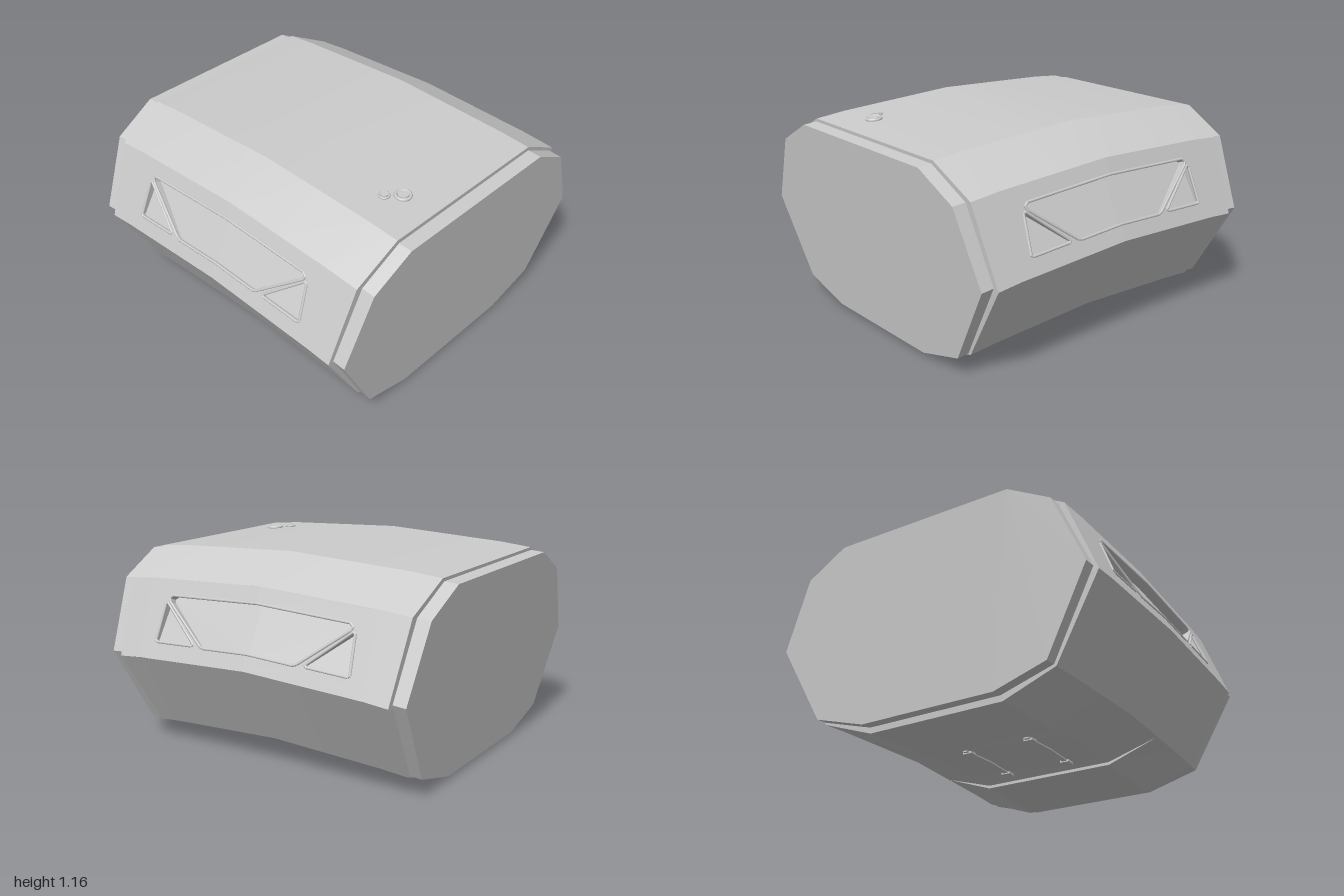
import * as THREE from 'three';
import { toCreasedNormals } from 'three/addons/utils/BufferGeometryUtils.js';

const grey = new THREE.MeshStandardMaterial({ color: 0xcccccc });

// half cross-sections as [z, y], top to bottom
const BODY = [[0.545, 1.165], [0.82, 1.02], [0.983, 0.6], [0.72, 0.155], [0.41, 0.043]];
const CAP = [[0.54, 1.095], [0.79, 0.96], [0.958, 0.565], [0.712, 0.115], [0.405, 0.025]];

// how far the arched body sinks away from the middle
const drop = (x) => {
  const a = Math.abs(x);
  return a < 0.72 ? 0.0444 * a : 0.032 + 0.09 * (a - 0.72);
};
const bodyEnd = (y) => 0.82 + 0.081 * y;
const fullLoop = (half) => [...half, ...half.map(([z, y]) => [-z, y]).reverse()];

function mesh(name, geometry) {
  const m = new THREE.Mesh(geometry, grey);
  m.name = name;
  return m;
}

// skin rings of equal length, ordered by rising x, with closed ends
function loft(rings, skip = []) {
  const n = rings[0].length, pos = [];
  const tri = (...p) => p.forEach((q) => pos.push(...q));
  for (let i = 0; i < rings.length - 1; i++) {
    for (let j = 0; j < n; j++) {
      if (skip.includes(j)) continue;
      const a = rings[i], b = rings[i + 1], k = (j + 1) % n;
      tri(a[j], a[k], b[j]);
      tri(a[k], b[k], b[j]);
    }
  }
  const first = rings[0], last = rings[rings.length - 1];
  for (let j = 1; j < n - 1; j++) {
    tri(first[0], first[j + 1], first[j]);
    tri(last[0], last[j], last[j + 1]);
  }
  const g = new THREE.BufferGeometry();
  g.setAttribute('position', new THREE.Float32BufferAttribute(pos, 3));
  return toCreasedNormals(g, 0.3);
}

// arched shell, open at the two sloped handle faces, with a shallow recess below
function bodyShell() {
  const stations = [[-1], [-0.8], [-0.4], [-0.399, 1], [0, 1], [0.399, 1], [0.4], [0.8], [1]];
  const rings = stations.map(([t, recess]) => fullLoop(BODY).map(([z, y]) => {
    const x = t * bodyEnd(y);
    return [x, y - drop(x) + (recess && y < 0.1 ? 0.017 : 0), z];
  }));
  return mesh('bodyShell', loft(rings, [1, 7]));
}

// places a point (x, height v, depth d) on one quarter of the sloped faces
function onSlope(x, v, d, sx, sz) {
  return new THREE.Vector3(sx * x, v - drop(x) + d * 0.362, sz * (0.983 - (v - 0.6) * 0.388 + d * 0.932));
}

function bendToSlope(geometry, sx, sz, depthAt) {
  const g = geometry.index ? geometry.toNonIndexed() : geometry;
  const p = g.attributes.position, pts = [];
  for (let i = 0; i < p.count; i++) {
    pts.push(onSlope(p.getX(i), p.getY(i), depthAt(p.getY(i), p.getZ(i)), sx, sz));
  }
  if (sx * sz < 0) for (let i = 0; i < pts.length; i += 3) [pts[i + 1], pts[i + 2]] = [pts[i + 2], pts[i + 1]];
  return toCreasedNormals(new THREE.BufferGeometry().setFromPoints(pts), 0.3);
}

const vecs = (list) => list.map(([x, y]) => new THREE.Vector2(x, y));
const POCKET = [[0, 0.935], [0.575, 0.935], [0.595, 0.92], [0.585, 0.9], [0.315, 0.693], [0.29, 0.685], [0, 0.685]];
const TRIANGLE = [[0.6, 0.895], [0.615, 0.89], [0.63, 0.7], [0.62, 0.69], [0.375, 0.69], [0.365, 0.7]];

// quarter of a handle: pierced face, recessed floor and raised rims
function handleQuarter(sx, sz) {
  const group = new THREE.Group();
  group.name = 'handleFace';
  const depth = 0.055;
  const shape = new THREE.Shape(vecs([[0, 0.6], [0.72, 0.6], [bodyEnd(0.6), 0.6],
    [bodyEnd(1.02), 1.02], [0.72, 1.02], ...[[0, 1.02]], ...POCKET]));
  shape.holes.push(new THREE.Path(vecs(TRIANGLE)));
  const face = new THREE.ExtrudeGeometry(shape, { depth, bevelEnabled: false });
  group.add(mesh('slopedFace', bendToSlope(face, sx, sz, (v, z) => z - depth)));

  const floor = new THREE.PlaneGeometry(0.66, 0.28).translate(0.33, 0.81, 0);
  group.add(mesh('pocketFloor', bendToSlope(floor, sx, sz, (v) => -0.02 - 0.032 * (v - 0.67) / 0.28)));

  const rim = (pts, closed) => {
    for (let i = 0; i < pts.length - (closed ? 0 : 1); i++) {
      const [a, b] = [pts[i], pts[(i + 1) % pts.length]].map(([x, v]) => onSlope(x, v, 0, sx, sz));
      group.add(mesh('handleRim', new THREE.TubeGeometry(new THREE.LineCurve3(a, b), 1, 0.008, 8)));
    }
  };
  rim(POCKET, false);
  rim(TRIANGLE, true);
  return group;
}

// end cap with a narrow sunken neck between it and the body
function endCap(s) {
  const group = new THREE.Group();
  group.name = s > 0 ? 'leftEndCap' : 'rightEndCap';
  const ordered = (rings) => (s > 0 ? rings : rings.reverse());
  const ring = (xAt, k, lift) => fullLoop(CAP).map(([z, y]) =>
    [s * xAt(y), 0.56 + (y - 0.56) * k + lift, z * k]);
  const outer = (y) => 0.9 + 0.0915 * y;
  const inner = (y) => bodyEnd(y) + 0.012;
  group.add(mesh('capPlate', loft(ordered([ring(inner, 1, 0.006), ring(outer, 1, 0)]))));
  group.add(mesh('capNeck', loft(ordered([ring((y) => bodyEnd(y) - 0.02, 0.96, 0), ring((y) => inner(y) + 0.01, 0.96, 0)]))));
  return group;
}

// round button: a ring around a low disc
function button(x, z, r) {
  const group = new THREE.Group();
  group.name = 'topButton';
  const ring = mesh('buttonRing', new THREE.TorusGeometry(r * 0.82, r * 0.2, 10, 32));
  ring.rotation.x = Math.PI / 2;
  const disc = mesh('buttonDisc', new THREE.CylinderGeometry(r * 0.62, r * 0.62, 0.03, 32));
  disc.position.y = -0.007;
  group.add(ring, disc);
  group.position.set(x, 1.168 - drop(x), z);
  group.rotation.z = -0.05;
  return group;
}

// slim bar with end brackets in the recess underneath
function undersideBar(z) {
  const group = new THREE.Group();
  group.name = 'undersideBar';
  const box = (name, w, h, d, x, y) => {
    const m = mesh(name, new THREE.BoxGeometry(w, h, d));
    m.position.set(x, y, 0);
    group.add(m);
    return m;
  };
  for (const s of [-1, 1]) {
    box('bar', 0.25, 0.012, 0.03, s * 0.125, 0.053).rotation.z = -s * 0.044;
    box('barBracket', 0.05, 0.024, 0.055, s * 0.205, 0.05).rotation.z = -s * 0.044;
  }
  group.position.z = z;
  return group;
}

export function createModel() {
  const model = new THREE.Group();
  model.name = 'archedCase';
  model.add(bodyShell());
  for (const s of [-1, 1]) {
    for (const sz of [-1, 1]) model.add(handleQuarter(s, sz));
    model.add(endCap(s), undersideBar(s * 0.2));
  }
  model.add(button(0.715, 0.27, 0.048), button(0.647, 0.34, 0.032));
  return model;
}
